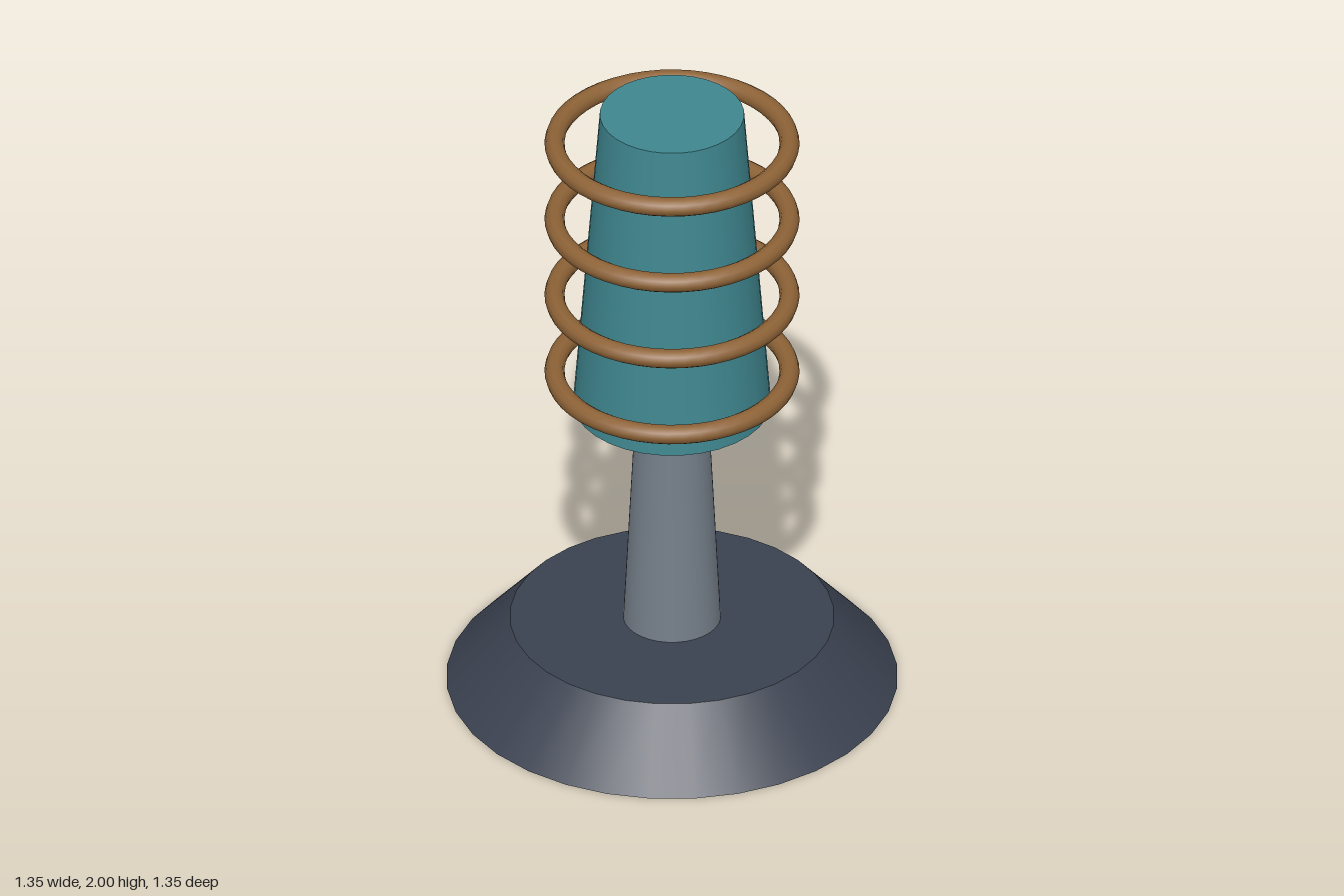
import * as THREE from 'three';

const paint = (name, color) => {
  const m = new THREE.MeshStandardMaterial({ color });
  m.name = name;
  return m;
};

export function createModel() {
  const model = new THREE.Group();
  model.name = 'coilTower';

  const slate = paint('darkSlate', 0x3b4250);
  const steel = paint('steelGrey', 0x757f8a);
  const teal = paint('teal', 0x3f868f);
  const copper = paint('copper', 0x8e6337);

  // Tapered round section standing between two heights
  const taper = (name, bottomRadius, topRadius, y0, y1, material) => {
    const mesh = new THREE.Mesh(
      new THREE.CylinderGeometry(topRadius, bottomRadius, y1 - y0, 32), material);
    mesh.name = name;
    mesh.position.y = (y0 + y1) / 2;
    model.add(mesh);
  };

  taper('base', 0.675, 0.485, 0, 0.215, slate);
  taper('stem', 0.146, 0.108, 0.215, 0.976, steel);
  taper('core', 0.296, 0.216, 0.976, 2, teal);

  // Four evenly spaced rings floating around the core
  const rings = new THREE.Group();
  rings.name = 'coilRings';
  const ringGeometry = new THREE.TorusGeometry(0.351, 0.03, 10, 48).rotateX(Math.PI / 2);
  for (let i = 0; i < 4; i++) {
    const ring = new THREE.Mesh(ringGeometry, copper);
    ring.name = `coilRing${i + 1}`;
    ring.position.y = 1.087 + i * 0.27;
    rings.add(ring);
  }
  model.add(rings);

  return model;
}
